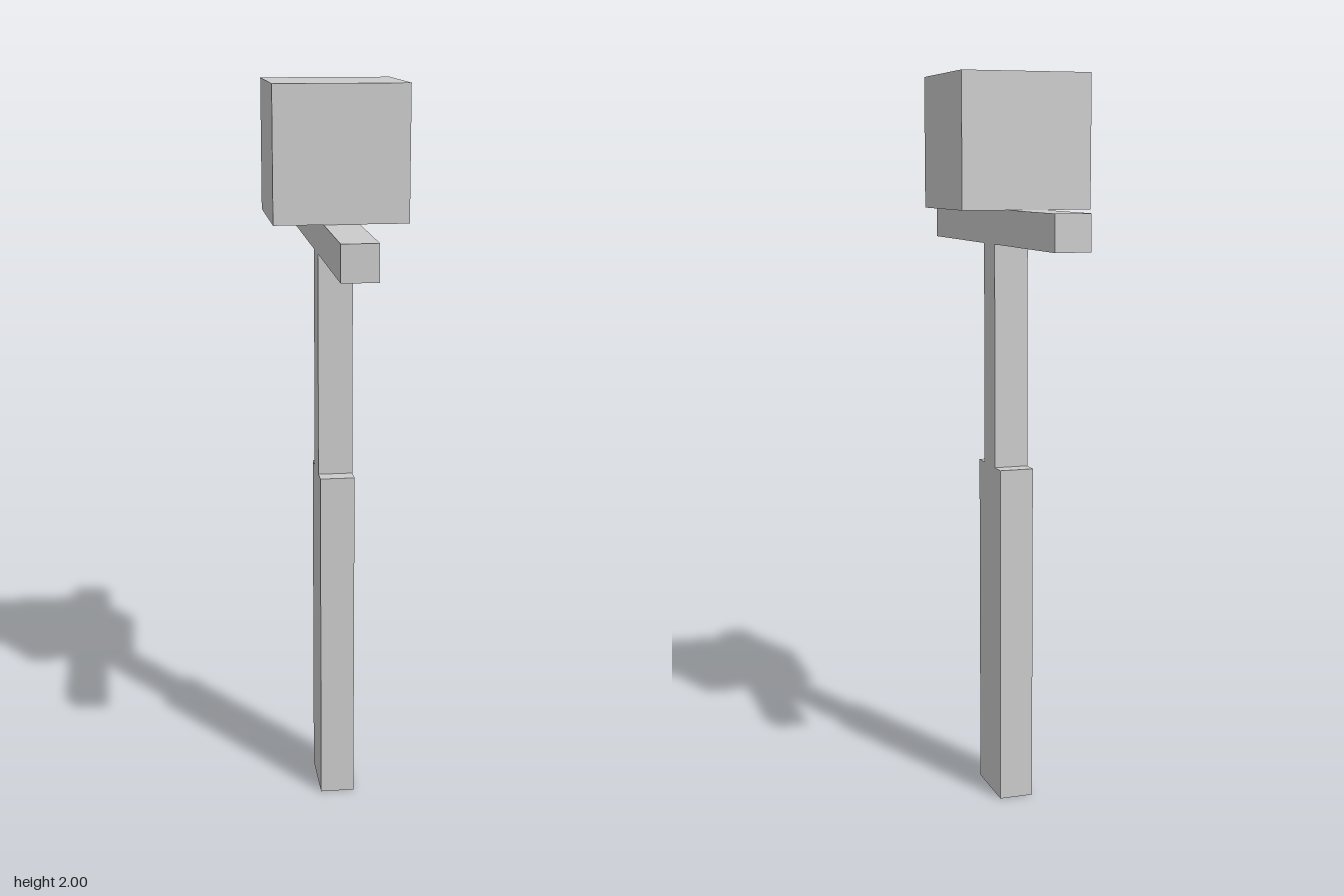
import * as THREE from 'three';

export function createModel() {
  const group = new THREE.Group();
  const material = new THREE.MeshStandardMaterial({ color: 0xcccccc, flatShading: true });

  const thickness = 0.094;
  const headSize = 0.354;
  const shoulderY = 2 - headSize;
  const armY = shoulderY - thickness;
  const hipY = 0.942;
  const legHalf = 0.094, torsoHalf = 0.047, armHalf = 0.518;

  // Legs, torso and outstretched arms: one continuous silhouette, given thickness along x
  const half = [
    [legHalf, 0], [legHalf, hipY], [torsoHalf, hipY],
    [torsoHalf, armY], [armHalf, armY], [armHalf, shoulderY],
  ];
  const mirrored = half.map(([z, y]) => [-z, y]).reverse();
  const outline = new THREE.Shape([...half, ...mirrored].map(([z, y]) => new THREE.Vector2(z, y)));
  const bodyGeometry = new THREE.ExtrudeGeometry(outline, { depth: thickness, bevelEnabled: false });
  bodyGeometry.translate(0, 0, -thickness / 2).rotateY(-Math.PI / 2);
  const body = new THREE.Mesh(bodyGeometry, material);
  body.name = 'body';
  group.add(body);

  // Cube head resting on the shoulders
  const head = new THREE.Mesh(new THREE.BoxGeometry(headSize, headSize, headSize), material);
  head.name = 'head';
  head.position.y = shoulderY + headSize / 2;
  group.add(head);

  return group;
}
